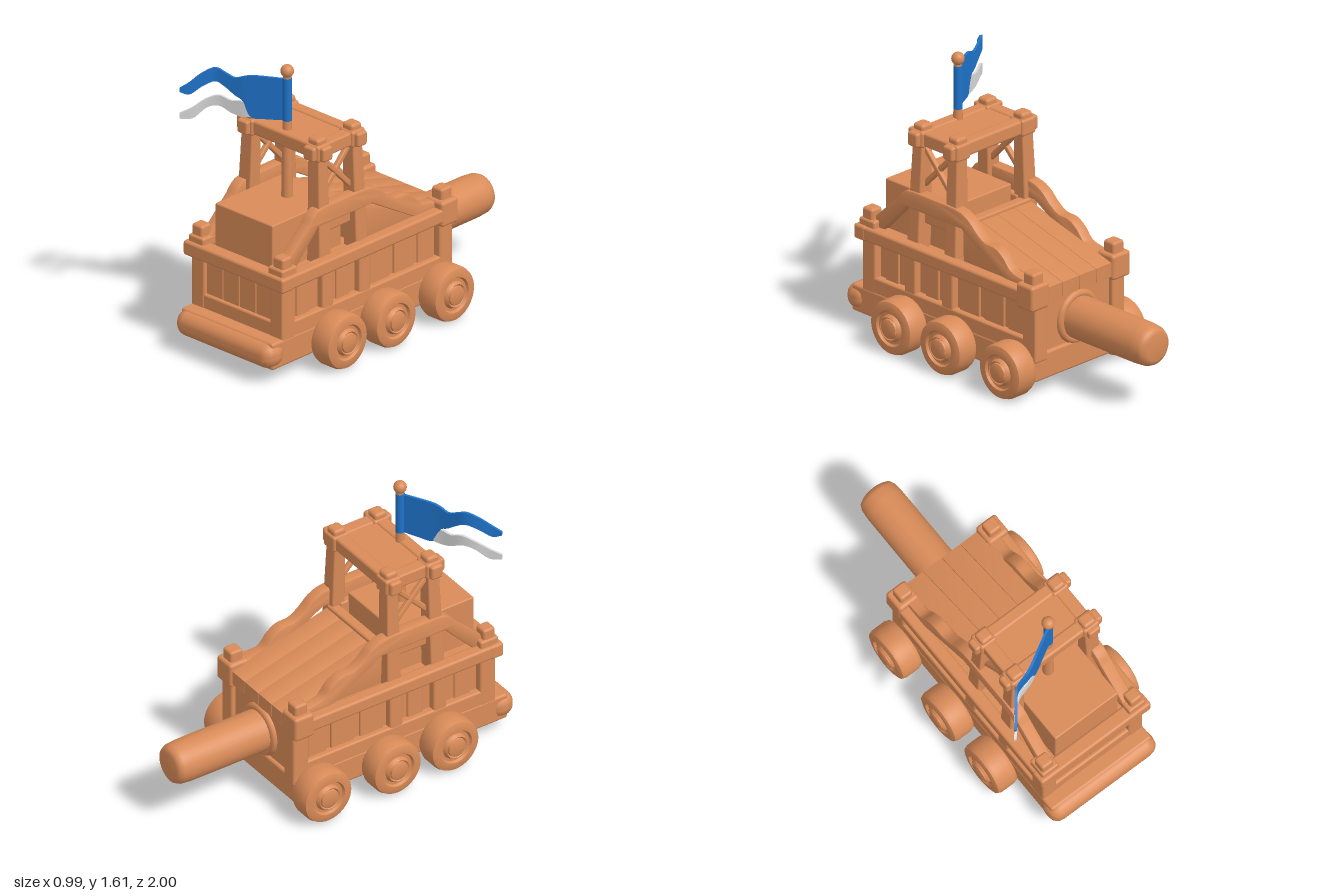
import * as THREE from 'three';
import { toCreasedNormals } from 'three/addons/utils/BufferGeometryUtils.js';
import { RoundedBoxGeometry } from 'three/addons/geometries/RoundedBoxGeometry.js';

const material = (name, color) => Object.assign(new THREE.MeshStandardMaterial({ color }), { name });
const wood = material('wood', 0xd98b58);
const blue = material('blueCloth', 0x1f73c9);
const white = material('whiteCloth', 0xd6d6d6);

export function createModel() {
  const model = new THREE.Group();
  model.name = 'batteringRam';

  const add = (name, geometry, mat = wood) => {
    const mesh = new THREE.Mesh(geometry, mat);
    mesh.name = name;
    model.add(mesh);
    return mesh;
  };

  // Bevelled box given by its ranges on each axis
  const box = (name, [x0, x1], [y0, y1], [z0, z1], r = 0.012) => {
    const g = new RoundedBoxGeometry(x1 - x0, y1 - y0, z1 - z0, 2, r);
    g.translate((x0 + x1) / 2, (y0 + y1) / 2, (z0 + z1) / 2);
    return add(name, g);
  };
  // The same box on both sides
  const pair = (name, [x0, x1], y, z, r) => {
    box(name + 'Left', [x0, x1], y, z, r);
    box(name + 'Right', [-x1, -x0], y, z, r);
  };
  // Bevelled beam between two points, narrowing towards the second
  const beam = (name, a, b, w, d, taper = 1) => {
    const from = new THREE.Vector3(...a), to = new THREE.Vector3(...b);
    const len = from.distanceTo(to);
    const g = new RoundedBoxGeometry(w, len, d, 2, 0.01);
    const p = g.attributes.position;
    for (let i = 0; i < p.count; i++) {
      const k = THREE.MathUtils.lerp(1, taper, p.getY(i) / len + 0.5);
      p.setXYZ(i, p.getX(i) * k, p.getY(i), p.getZ(i) * k);
    }
    const mesh = add(name, g);
    mesh.position.copy(from).add(to).multiplyScalar(0.5);
    mesh.quaternion.setFromUnitVectors(new THREE.Vector3(0, 1, 0), to.sub(from).normalize());
  };
  // Side profile in (z, y), extruded across x
  const profile = (name, shape, xMid, width, bevel = 0.01) => {
    const g = new THREE.ExtrudeGeometry(shape, {
      depth: width - 2 * bevel, bevelEnabled: bevel > 0, bevelSize: bevel, bevelThickness: bevel,
      bevelOffset: -bevel, bevelSegments: 2, curveSegments: 24,
    });
    g.rotateY(-Math.PI / 2);
    g.translate(xMid + width / 2 - bevel, 0, 0);
    return add(name, toCreasedNormals(g, 0.6));
  };
  const v2 = ([x, y]) => new THREE.Vector2(x, y);

  // Undercarriage and front bumper log
  box('deck', [-0.335, 0.335], [0.09, 0.245], [-0.42, 0.95], 0.015);
  box('bumper', [-0.352, 0.352], [0.095, 0.24], [0.85, 1.0], 0.065);

  // Lower body: recessed walls, sills and upright posts
  box('bodyWalls', [-0.29, 0.29], [0.2, 0.57], [-0.4, 0.84]);
  pair('sill', [0.26, 0.332], [0.23, 0.325], [-0.42, 0.87]);
  box('frontSill', [-0.33, 0.33], [0.23, 0.325], [0.8, 0.87]);
  pair('frontCornerPost', [0.24, 0.333], [0.2, 0.6], [0.775, 0.873]);
  pair('backCornerPost', [0.24, 0.333], [0.2, 0.6], [-0.425, -0.325]);
  for (const z of [0.52, 0.24]) pair('sidePost', [0.26, 0.33], [0.25, 0.6], [z - 0.042, z + 0.042]);
  for (const [z, w] of [[0.68, 0.1], [0.38, 0.1], [0.1, 0.15], [-0.085, 0.15], [-0.25, 0.12]])
    pair('sidePlank', [0.27, 0.302], [0.3, 0.57], [z - w / 2, z + w / 2], 0.008);
  for (let i = 0; i < 4; i++)
    box('frontPlank', [-0.24 + i * 0.12, -0.122 + i * 0.12], [0.3, 0.57], [0.82, 0.852], 0.006);

  // Rail around the body with capped corners
  pair('sideRail', [0.29, 0.363], [0.53, 0.61], [-0.42, 0.9], 0.015);
  box('frontRail', [-0.366, 0.366], [0.528, 0.612], [0.82, 0.905], 0.015);
  pair('frontCornerBlock', [0.235, 0.345], [0.59, 0.65], [0.77, 0.885]);
  pair('frontCornerCap', [0.258, 0.335], [0.62, 0.71], [0.795, 0.87], 0.015);
  pair('backCornerBlock', [0.235, 0.366], [0.505, 0.65], [-0.435, -0.31], 0.018);
  pair('backCornerCap', [0.258, 0.338], [0.62, 0.712], [-0.415, -0.335], 0.015);

  // Sloping rear roof made of planks
  for (let i = 0; i < 4; i++) {
    const ramp = new THREE.Shape(
      [[-0.42, 0.53], [0.23, 0.53], [0.23, 0.77], [0.19, 0.77], [-0.42, 0.61]].map(v2));
    profile('roofPlank', ramp, -0.186 + i * 0.124, 0.124, 0.004);
  }
  box('roofCrossbeam', [-0.25, 0.25], [0.7, 0.79], [0.19, 0.25]);

  // Upper box and the beams beside it
  box('upperBox', [-0.21, 0.21], [0.55, 0.85], [0.3, 0.82], 0.008);
  pair('innerBeam', [0.2, 0.26], [0.71, 0.8], [0.25, 0.55]);

  // Wavy side rails
  for (const s of [-1, 1]) {
    const rail = new THREE.Shape();
    rail.moveTo(0.82, 0.6);
    rail.lineTo(0.82, 0.65);
    rail.lineTo(0.64, 0.82);
    rail.splineThru([[0.6, 0.865], [0.54, 0.89], [0.38, 0.893], [0.2, 0.89], [0.11, 0.86], [0.04, 0.8],
      [-0.02, 0.765], [-0.1, 0.757], [-0.16, 0.72], [-0.22, 0.66], [-0.33, 0.64]].map(v2));
    rail.lineTo(-0.33, 0.59);
    rail.lineTo(-0.17, 0.6);
    rail.lineTo(0.16, 0.79);
    rail.lineTo(0.57, 0.79);
    rail.lineTo(0.75, 0.6);
    profile(s > 0 ? 'wavyRailLeft' : 'wavyRailRight', rail, s * 0.272, 0.07);
  }

  // Tower legs, corner blocks and cross braces
  for (const s of [-1, 1]) {
    for (const [z0, z1] of [[0.52, 0.51], [0.24, 0.248]]) {
      beam('towerLeg', [s * 0.262, 0.55, z0], [s * 0.242, 1.2, z1], 0.1, 0.09, 0.78);
      box('towerCornerBlock', [s * 0.242 - 0.052, s * 0.242 + 0.052], [1.15, 1.245], [z1 - 0.05, z1 + 0.05], 0.015);
      box('towerCap', [s * 0.24 - 0.04, s * 0.24 + 0.04], [1.2, 1.278], [z1 - 0.038, z1 + 0.038], 0.018);
    }
    beam('crossBrace', [s * 0.245, 0.92, 0.5], [s * 0.24, 1.16, 0.27], 0.03, 0.032);
    beam('crossBrace', [s * 0.25, 0.92, 0.27], [s * 0.245, 1.16, 0.5], 0.03, 0.032);
  }
  pair('towerSideBeam', [0.205, 0.28], [1.16, 1.238], [0.2, 0.585]);
  for (const z of [0.51, 0.248]) box('towerCrossbeam', [-0.322, 0.322], [1.157, 1.24], [z - 0.037, z + 0.037], 0.015);
  box('towerRoof', [-0.23, 0.23], [1.17, 1.23], [0.23, 0.53]);

  // Wheels: rounded tyre, recessed face and hub
  const wheelProfile = [[0, 0], [0.125, 0], [0.146, 0.008], [0.154, 0.03], [0.154, 0.11], [0.146, 0.132],
    [0.125, 0.14], [0.1, 0.14], [0.092, 0.126], [0.076, 0.126], [0.07, 0.14], [0.064, 0.147], [0.056, 0.14],
    [0.053, 0.15], [0.04, 0.155], [0, 0.156]].map(v2);
  const wheelGeometry = toCreasedNormals(new THREE.LatheGeometry(wheelProfile, 40), 0.7);
  for (const s of [-1, 1]) for (const z of [0.52, 0.15, -0.295]) {
    const wheel = add('wheel', wheelGeometry);
    wheel.rotation.z = -s * Math.PI / 2;
    wheel.position.set(s * 0.338, 0.158, z);
  }

  // Ram log with a collar on the back wall
  const log = new THREE.LatheGeometry([[0.118, 0], [0.117, 0.5], [0.112, 0.56], [0.1, 0.585], [0.075, 0.598], [0, 0.6]].map(v2), 32);
  log.rotateX(-Math.PI / 2);
  add('ramLog', log).position.set(0, 0.373, -0.4);
  add('ramCollar', new THREE.TorusGeometry(0.128, 0.022, 10, 36)).position.set(0, 0.373, -0.405);

  // Flagpole and knob
  add('flagpole', new THREE.CylinderGeometry(0.02, 0.032, 0.73, 16)).position.set(0, 1.205, 0.49);
  add('poleKnob', new THREE.SphereGeometry(0.036, 20, 14)).position.set(0, 1.575, 0.49);
  add('flagSleeve', new THREE.CylinderGeometry(0.025, 0.025, 0.245, 20), blue).position.set(0, 1.412, 0.49);

  // Cloth strip from stations [x, z, top, bottom], with a little thickness
  const cloth = (name, stations, mat) => {
    const half = 0.007, n = 32, pos = [], idx = [];
    const top = new THREE.CatmullRomCurve3(stations.map(([x, z, t]) => new THREE.Vector3(x, t, z)));
    const low = new THREE.CatmullRomCurve3(stations.map(([x, z, , b]) => new THREE.Vector3(x, b, z)));
    for (let i = 0; i <= n; i++) {
      const a = top.getPoint(i / n), b = low.getPoint(i / n), t = top.getTangent(i / n);
      const o = new THREE.Vector3(-t.z, 0, t.x).normalize().multiplyScalar(half);
      for (const [p, k] of [[a, 1], [b, 1], [b, -1], [a, -1]]) pos.push(p.x + o.x * k, p.y, p.z + o.z * k);
      for (let j = 0; i < n && j < 4; j++) {
        const c = i * 4 + j, d = i * 4 + (j + 1) % 4;
        idx.push(c, c + 4, d, d, c + 4, d + 4);
      }
    }
    const e = n * 4;
    idx.push(0, 1, 2, 0, 2, 3, e, e + 2, e + 1, e, e + 3, e + 2);
    const g = new THREE.BufferGeometry();
    g.setAttribute('position', new THREE.Float32BufferAttribute(pos, 3));
    g.setIndex(idx);
    mat.side = THREE.DoubleSide;
    add(name, toCreasedNormals(g, 0.8), mat);
  };
  cloth('flagUpper', [[0, 0.495, 1.53, 1.292], [-0.09, 0.545, 1.53, 1.285], [-0.17, 0.59, 1.527, 1.288],
    [-0.21, 0.61, 1.515, 1.378], [-0.25, 0.625, 1.5, 1.4], [-0.3, 0.645, 1.52, 1.438], [-0.35, 0.67, 1.542, 1.465],
    [-0.4, 0.725, 1.51, 1.435], [-0.44, 0.78, 1.46, 1.395], [-0.475, 0.815, 1.43, 1.41]], blue);
  cloth('flagLowerTail', [[-0.17, 0.59, 1.3, 1.287], [-0.21, 0.61, 1.37, 1.283], [-0.27, 0.633, 1.365, 1.295],
    [-0.33, 0.66, 1.385, 1.325], [-0.38, 0.7, 1.365, 1.315], [-0.43, 0.765, 1.315, 1.255],
    [-0.475, 0.815, 1.285, 1.255]], white);

  return model;
}
